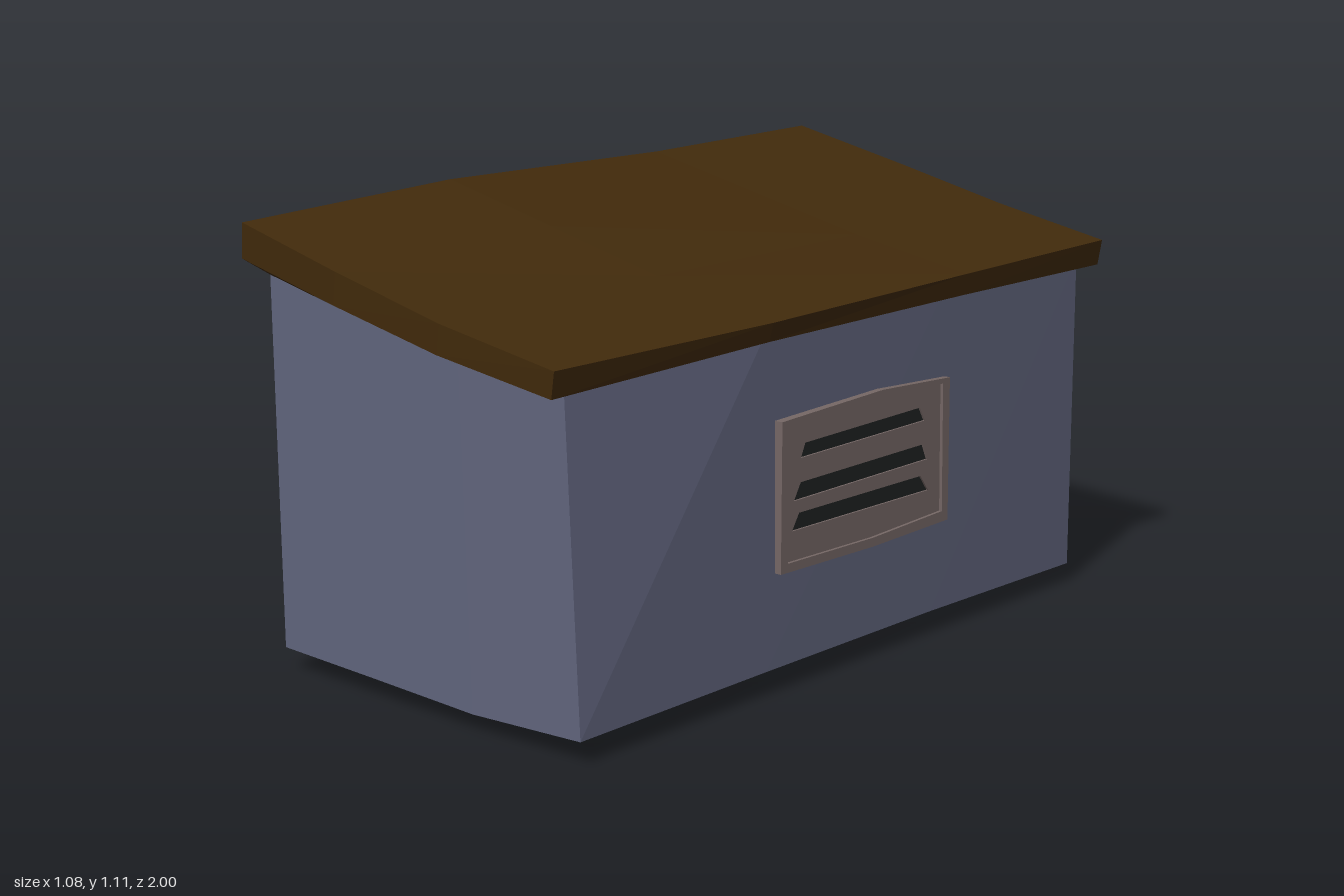
import * as THREE from 'three';

const mat = (name, color) => {
  const m = new THREE.MeshStandardMaterial({ color });
  m.name = name;
  return m;
};

// Each layer has four sections from back to front: [left x, left y, right x, right y, z]
const floorLayer = {
  sections: [[-0.437, 0.055, 0.5, 0.052, -0.864], [-0.442, 0.064, 0.5, 0.06, -0.27],
    [-0.452, 0.065, 0.5, 0.06, 0.35], [-0.469, 0.057, 0.497, 0.056, 0.955]],
  sag: [0, -0.003, -0.012, 0], bulge: 0.008,
};
const wallTopLayer = {
  sections: [[-0.435, 1.005, 0.5, 0.865, -0.864], [-0.45, 0.99, 0.498, 0.862, -0.31],
    [-0.475, 0.975, 0.49, 0.855, 0.34], [-0.505, 0.94, 0.437, 0.815, 0.932]],
  sag: [0, 0, 0, 0], bulge: 0.005,
};
const eaveLayer = {
  sections: [[-0.468, 1.03, 0.527, 0.84, -0.92], [-0.487, 1.015, 0.522, 0.84, -0.35],
    [-0.51, 1.015, 0.512, 0.833, 0.36], [-0.54, 0.98, 0.452, 0.799, 0.984]],
  sag: [0, -0.005, -0.01, 0], bulge: 0.014,
};
const roofTopLayer = {
  sections: [[-0.455, 1.115, 0.54, 0.905, -0.918], [-0.478, 1.098, 0.532, 0.893, -0.35],
    [-0.51, 1.098, 0.524, 0.878, 0.36], [-0.53, 1.065, 0.465, 0.862, 0.988]],
  sag: [0, -0.005, -0.01, 0], bulge: 0.012,
};

// Box bent through layers listed from bottom to top
function warpedBox(layers) {
  const n = layers.length - 1;
  const geo = new THREE.BoxGeometry(1, 1, 1, 3, n, 3);
  const p = geo.attributes.position;
  for (let i = 0; i < p.count; i++) {
    const u = p.getX(i) + 0.5;
    const k = Math.round(u * 3);
    const j = Math.round((p.getZ(i) + 0.5) * 3);
    const { sections, sag, bulge } = layers[Math.round((p.getY(i) + 0.5) * n)];
    const [xl, yl, xr, yr, z] = sections[j];
    const push = k === 1 || k === 2 ? (j === 3 ? bulge : j === 0 ? -bulge : 0) : 0;
    p.setXYZ(i, xl + (xr - xl) * u, yl + (yr - yl) * u + sag[k], z + push);
  }
  const flat = geo.toNonIndexed();
  flat.computeVertexNormals();
  return flat;
}

const points = (list) => list.map(([x, y]) => new THREE.Vector2(x, y));

// Outline in (-z, y) given thickness from x0 to x1 on the side wall
function sidePlate(outline, holes, x0, x1) {
  const shape = new THREE.Shape(points(outline));
  holes.forEach((h) => shape.holes.push(new THREE.Path(points(h))));
  const geo = new THREE.ExtrudeGeometry(shape, { depth: x1 - x0, bevelEnabled: false });
  geo.rotateY(Math.PI / 2);
  geo.translate(x0, 0, 0);
  return geo;
}

export function createModel() {
  const model = new THREE.Group();
  model.name = 'utilityShed';
  const wall = mat('blue grey wall', 0x5f637b);
  const roof = mat('brown roof', 0x412a0b);
  const metal = mat('warm grey metal', 0x756765);
  const dark = mat('dark slot', 0x1f2222);
  const black = mat('black cable', 0x1b1d1d);
  const brown = mat('brown cable', 0x3f2a0d);

  const add = (parent, name, geo, material) => {
    const mesh = new THREE.Mesh(geo, material);
    mesh.name = name;
    parent.add(mesh);
    return mesh;
  };

  add(model, 'walls', warpedBox([floorLayer, wallTopLayer]), wall);
  // The lowest roof layer joins the wall tops, forming sloping eaves
  add(model, 'roof', warpedBox([wallTopLayer, eaveLayer, roofTopLayer]), roof);

  // Side vent: raised rim, slotted panel and dark backing
  const vent = new THREE.Group();
  vent.name = 'sideVent';
  model.add(vent);
  const outer = [[-0.318, 0.287], [0.02, 0.281], [0.314, 0.287], [0.312, 0.643], [0.05, 0.656], [-0.316, 0.643]];
  const inner = [[-0.293, 0.308], [0.02, 0.303], [0.29, 0.313], [0.285, 0.632], [0.05, 0.638], [-0.29, 0.62]];
  const slots = [
    [[-0.24, 0.545], [0.225, 0.55], [0.205, 0.585], [-0.225, 0.578]],
    [[-0.264, 0.448], [0.238, 0.452], [0.22, 0.492], [-0.24, 0.488]],
    [[-0.27, 0.378], [0.243, 0.374], [0.212, 0.415], [-0.245, 0.417]],
  ];
  add(vent, 'ventRim', sidePlate(outer, [inner], 0.486, 0.515), metal);
  add(vent, 'ventPanel', sidePlate(inner, slots, 0.487, 0.507), metal);
  add(vent, 'ventSlots', sidePlate(inner, [], 0.497, 0.502), dark);

  // Junction box on the back wall
  const box = add(model, 'junctionBox', new THREE.BoxGeometry(0.11, 0.21, 0.062), metal);
  box.position.set(0.065, 0.525, -0.896);

  // Three cables hanging to the ground
  [0.045, 0.075, 0.103].forEach((x, i) => {
    const path = new THREE.CatmullRomCurve3([
      [0.462, -0.915], [0.44, -0.95], [0.37, -0.965], [0.27, -0.955],
      [0.17, -0.943], [0.08, -0.95], [0.03, -0.97], [0.009, -0.992],
    ].map(([y, z]) => new THREE.Vector3(x, y, z)));
    const material = i === 0 ? brown : black;
    add(model, `cable${i + 1}`, new THREE.TubeGeometry(path, 28, 0.0085, 8), material);
    const end = add(model, `cableEnd${i + 1}`, new THREE.SphereGeometry(0.0085, 8, 6), material);
    end.position.set(x, 0.009, -0.992);
  });

  return model;
}
